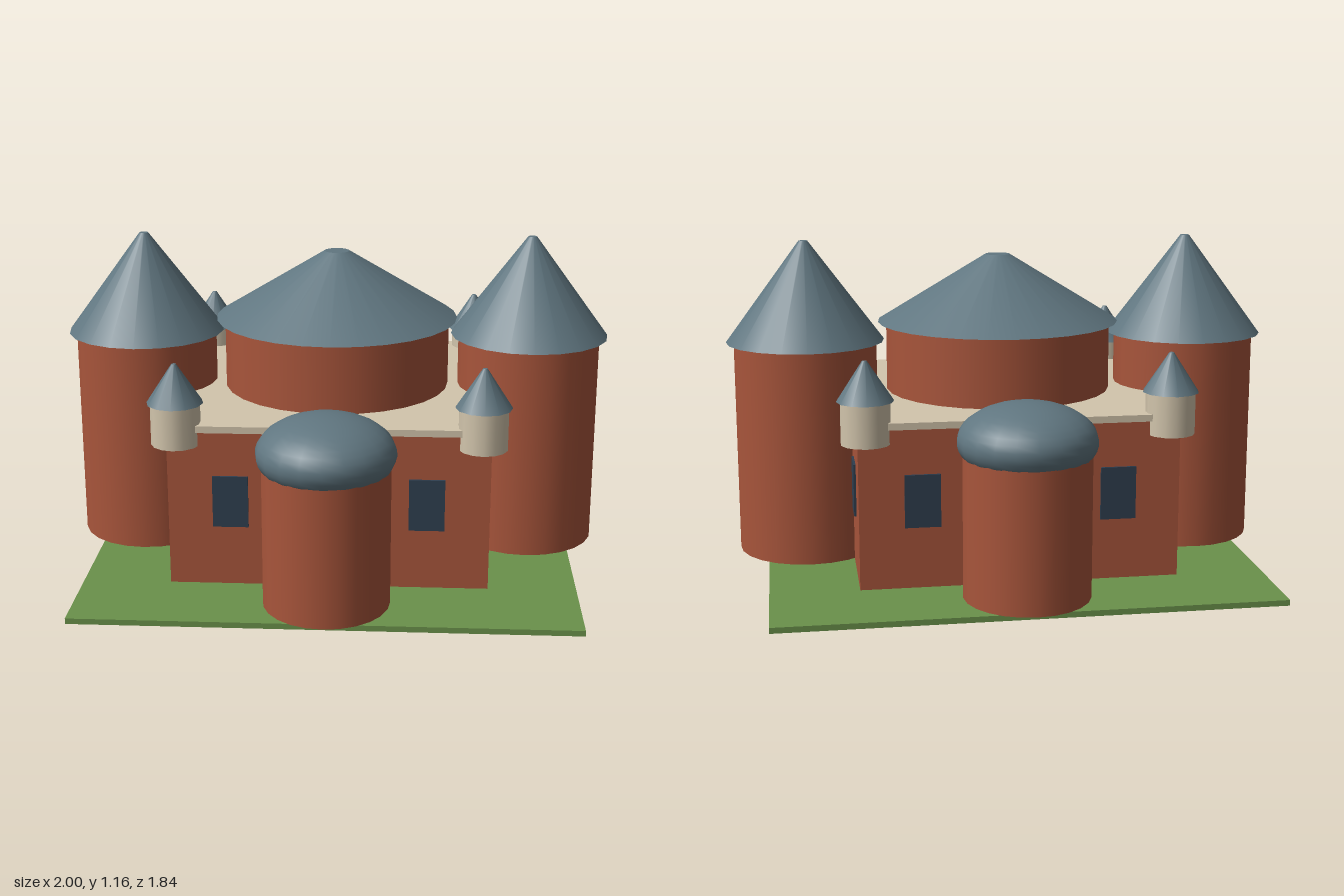
import * as THREE from 'three';

const material = (name, color) => {
  const m = new THREE.MeshStandardMaterial({ color });
  m.name = name;
  return m;
};

export function createModel() {
  const model = new THREE.Group();
  model.name = 'castle';
  const brick = material('brick', 0xa8553b);
  const slate = material('slate', 0x607680);
  const stone = material('stone', 0xd2c5ac);
  const grass = material('grass', 0x6a914b);
  const glass = material('windowGlass', 0x2f3f50);

  const add = (name, geometry, mat, x = 0, y = 0, z = 0) => {
    const mesh = new THREE.Mesh(geometry, mat);
    mesh.name = name;
    mesh.position.set(x, y, z);
    model.add(mesh);
    return mesh;
  };
  // Box and round parts are given by their bottom and top heights
  const box = (name, mat, w, y0, y1, d) =>
    add(name, new THREE.BoxGeometry(w, y1 - y0, d), mat, 0, (y0 + y1) / 2, 0);
  const round = (name, mat, rTop, rBottom, y0, y1, sides, x = 0, z = 0) =>
    add(name, new THREE.CylinderGeometry(rTop, rBottom, y1 - y0, sides), mat, x, (y0 + y1) / 2, z);

  // Lawn, central block and its flat roof
  box('lawn', grass, 1.734, 0, 0.02, 1.734);
  box('mainBlock', brick, 1.116, 0.02, 0.582, 1.116);
  box('flatRoof', stone, 1.14, 0.582, 0.606, 1.14);

  // Central drum with a wide conical roof
  round('centralDrum', brick, 0.415, 0.415, 0.6, 0.86, 28);
  round('centralRoof', slate, 0.045, 0.445, 0.857, 1.102, 28);

  for (const s of [-1, 1]) {
    // Tall side towers
    round('sideTower', brick, 0.26, 0.26, 0.02, 0.8, 24, s * 0.712);
    round('sideTowerRoof', slate, 0.016, 0.288, 0.796, 1.162, 20, s * 0.712);

    // Domed towers at front and back
    round('domedTower', brick, 0.219, 0.219, 0.02, 0.512, 24, 0, s * 0.684);
    const dome = new THREE.SphereGeometry(1, 20, 12, 0, Math.PI * 2, 0, Math.PI * 0.625);
    dome.scale(0.238, 0.131, 0.238);
    add('dome', dome, slate, 0, 0.56, s * 0.684);

    // Corner turrets
    for (const t of [-1, 1]) {
      round('cornerTurret', stone, 0.086, 0.086, 0.53, 0.682, 14, s * 0.528, t * 0.528);
      round('cornerTurretRoof', slate, 0.008, 0.098, 0.677, 0.815, 12, s * 0.528, t * 0.528);
    }
  }

  // Two windows on each wall
  const pane = new THREE.BoxGeometry(0.124, 0.186, 0.009);
  for (let side = 0; side < 4; side++) {
    const wall = new THREE.Group();
    wall.name = 'wallWindows';
    wall.rotation.y = side * Math.PI / 2;
    for (const s of [-1, 1]) {
      const mesh = new THREE.Mesh(pane, glass);
      mesh.name = 'window';
      mesh.position.set(s * 0.34, 0.33, 0.5615);
      wall.add(mesh);
    }
    model.add(wall);
  }
  return model;
}
